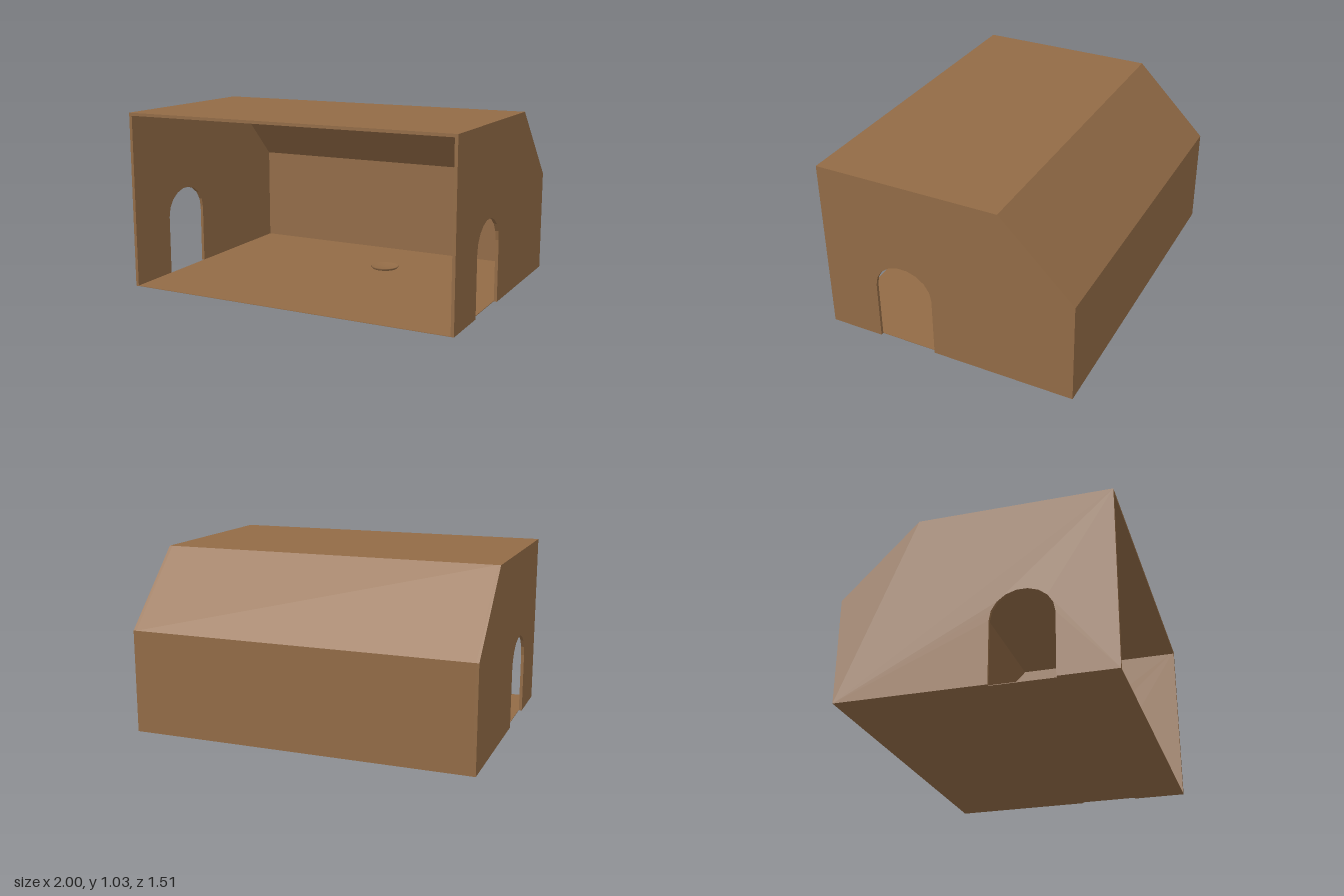
import * as THREE from 'three';

const WALL = 0.018;   // side wall thickness
const FLOOR = 0.003;  // floor sheet thickness
const FRONT = 0.753, BACK = -0.753, RIDGE = -0.325, TOP = 1.027, EAVE = 0.6;

// Extrudes a (z, y) outline towards -x, starting at the given x
function extrudeAlongX(points, startX, depth) {
  const shape = new THREE.Shape(points.map(([z, y]) => new THREE.Vector2(z, y)));
  const geometry = new THREE.ExtrudeGeometry(shape, { depth, bevelEnabled: false });
  geometry.rotateY(-Math.PI / 2);
  geometry.translate(startX, 0, 0);
  return geometry;
}

export function createModel() {
  const group = new THREE.Group();
  const wood = new THREE.MeshStandardMaterial({ color: 0x926b46 });
  wood.name = 'brown wood';

  const add = (name, geometry) => {
    const mesh = new THREE.Mesh(geometry, wood);
    mesh.name = name;
    group.add(mesh);
    return mesh;
  };

  // Side walls with an arched doorway reaching the ground
  const doorZ = 0.26, doorR = 0.175, springY = 0.355, archH = 0.157;
  const arch = [];
  for (let i = 0; i <= 9; i++) {
    const a = Math.PI * i / 9;
    arch.push([doorZ - doorR * Math.cos(a), springY + archH * Math.sin(a)]);
  }
  const wallOutline = [
    [BACK, 0], [doorZ - doorR, 0], ...arch, [doorZ + doorR, 0],
    [FRONT, 0], [FRONT, TOP], [RIDGE, TOP], [BACK, EAVE],
  ];
  add('leftWall', extrudeAlongX(wallOutline, 1, WALL));
  add('rightWall', extrudeAlongX(wallOutline, -1 + WALL, WALL));

  // Back wall, sloped roof and flat roof, each a strip between the side walls
  const span = 2 - 2 * WALL, startX = 1 - WALL;
  const innerEave = [BACK + WALL, EAVE - 0.005];
  const innerRidge = [RIDGE + 0.007, TOP - 0.017];
  add('backWall', extrudeAlongX([[BACK, 0], innerEave.map((v, i) => (i ? 0 : v)), innerEave, [BACK, EAVE]], startX, span));
  add('slopedRoof', extrudeAlongX([[BACK, EAVE], innerEave, innerRidge, [RIDGE, TOP]], startX, span));
  add('flatRoof', extrudeAlongX([[RIDGE, TOP], innerRidge, [FRONT, TOP - 0.017], [FRONT, TOP]], startX, span));

  // Thin floor
  const floor = add('floor', new THREE.BoxGeometry(span, FLOOR, FRONT - BACK - WALL));
  floor.position.set(0, FLOOR / 2, WALL / 2);

  // Shallow dish lying on the floor
  const profile = [[0.075, 0], [0.087, 0.013], [0.082, 0.016], [0.062, 0.008], [0, 0.005]];
  const dish = add('dish', new THREE.LatheGeometry(profile.map(([r, y]) => new THREE.Vector2(r, y)), 24));
  dish.position.set(0.145, 0.001, -0.27);

  return group;
}
